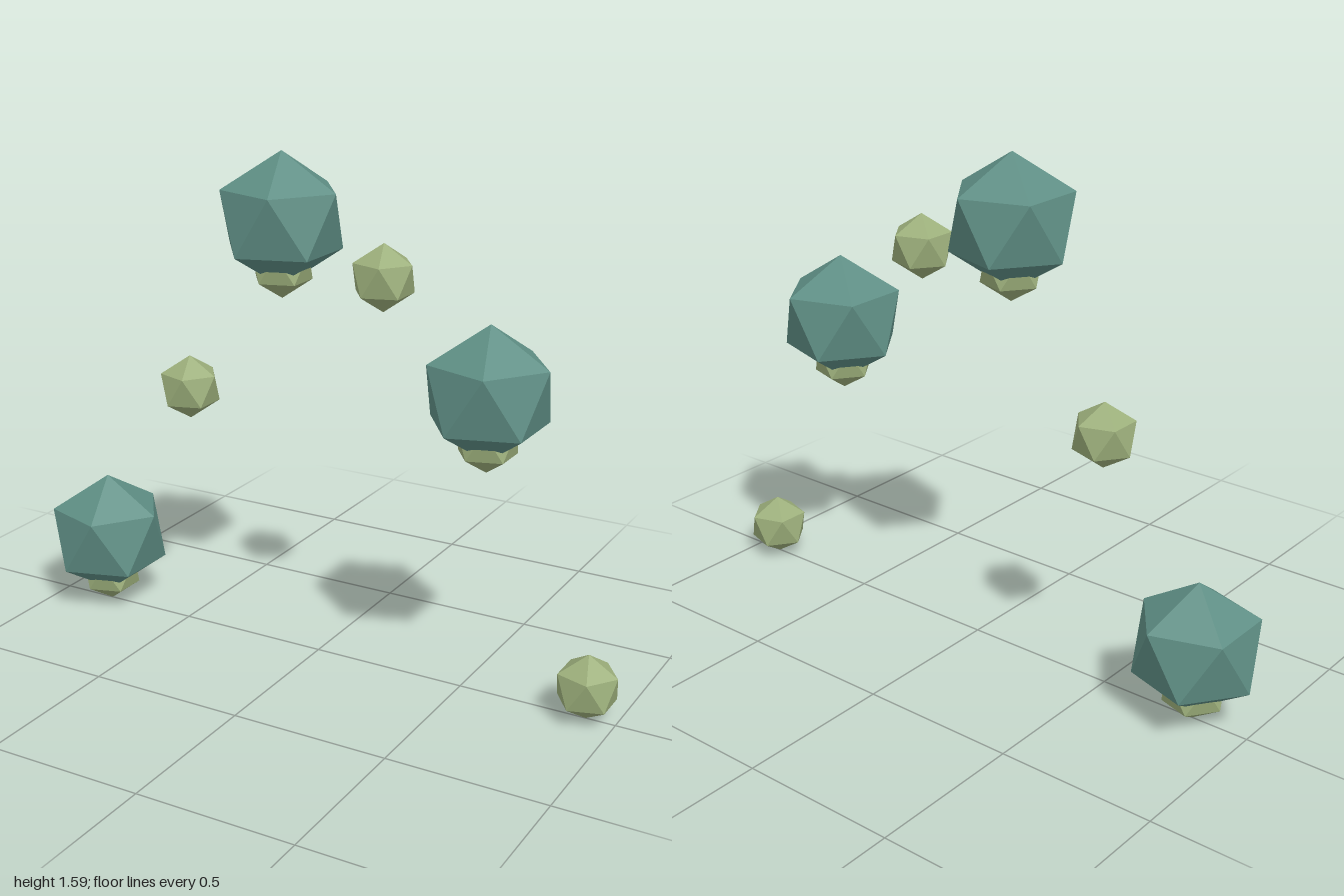
import * as THREE from 'three';

export function createModel() {
  const model = new THREE.Group();
  model.name = 'gemArch';

  const teal = new THREE.MeshStandardMaterial({ color: 0x5f8f85 });
  teal.name = 'teal';
  const sage = new THREE.MeshStandardMaterial({ color: 0x9caf7b });
  sage.name = 'sage green';

  const unit = 0.3445; // spacing between neighbours
  const count = 6;
  const startX = -0.815;

  // faceted ball standing on one of its corners
  const gem = (radius) =>
    new THREE.IcosahedronGeometry(radius, 0).rotateZ(-Math.atan(2 / (1 + Math.sqrt(5))));
  const smallRadius = 0.3 * unit;
  const smallGem = gem(smallRadius);
  const largeGem = gem(0.6 * unit);

  const add = (name, geometry, material, x, y) => {
    const mesh = new THREE.Mesh(geometry, material);
    mesh.name = name;
    mesh.position.set(x, y, 0);
    model.add(mesh);
  };

  // six small balls along a sine arch, every second one topped by a large ball
  for (let i = 0; i < count; i++) {
    const x = startX + i * unit;
    const y = smallRadius + 3.5 * unit * Math.sin((Math.PI * i) / (count - 1));
    add(`smallBall${i + 1}`, smallGem, sage, x, y);
    if (i % 2 === 0) add(`largeBall${i / 2 + 1}`, largeGem, teal, x, y + 0.4 * unit);
  }

  return model;
}
